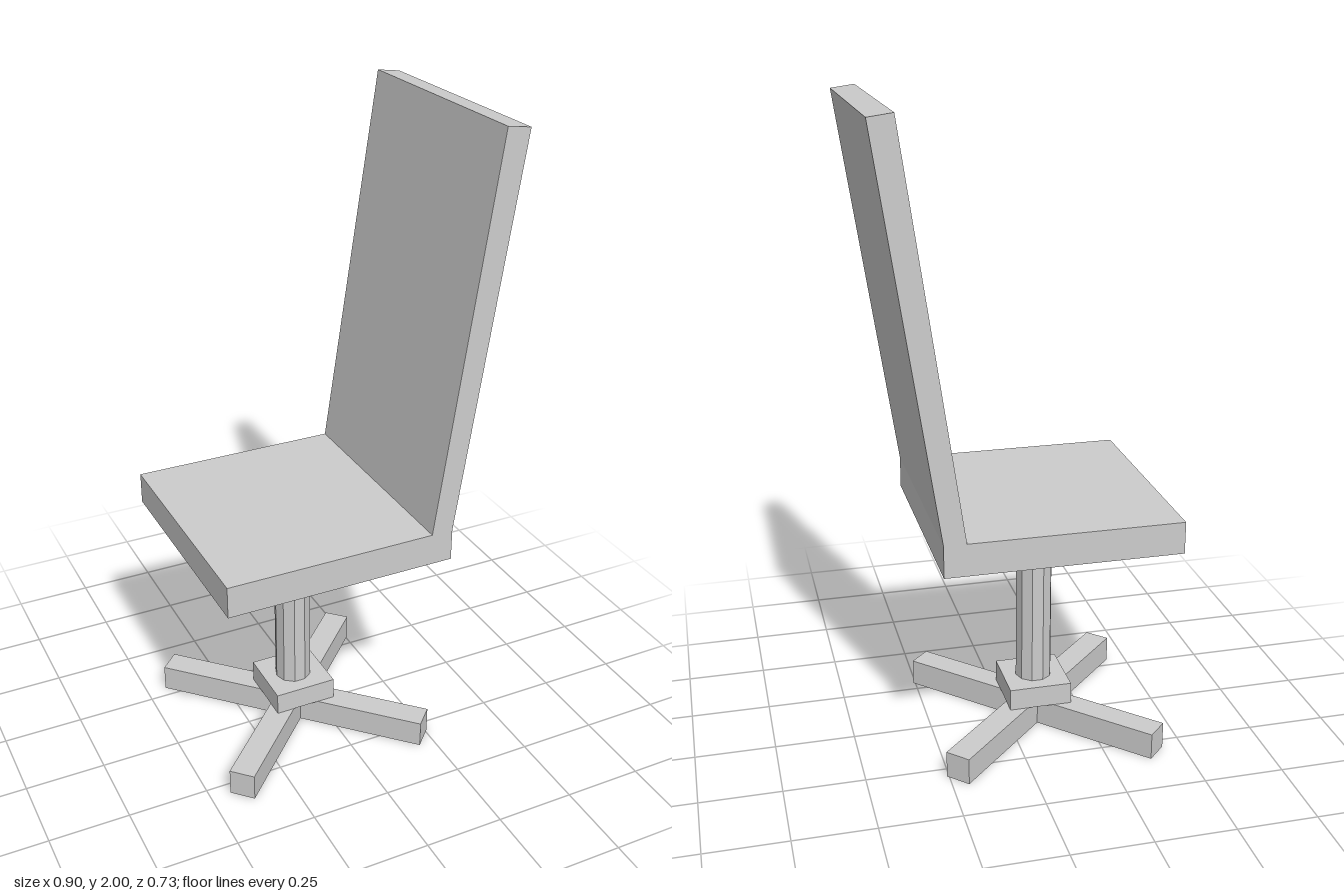
import * as THREE from 'three';

const AXIS_X = -0.09; // the pedestal stands under the middle of the seat
const DEPTH = 0.727;

export function createModel() {
  const group = new THREE.Group();
  const material = new THREE.MeshStandardMaterial({ color: 0xcccccc, flatShading: true });

  const add = (name, geometry, x, y, z = 0) => {
    const mesh = new THREE.Mesh(geometry, material);
    mesh.name = name;
    mesh.position.set(x, y, z);
    group.add(mesh);
    return mesh;
  };

  // Side profile extruded across the width of the chair
  const slab = (name, points) => {
    const shape = new THREE.Shape(points.map(([x, y]) => new THREE.Vector2(x, y)));
    const geometry = new THREE.ExtrudeGeometry(shape, { depth: DEPTH, bevelEnabled: false });
    return add(name, geometry, 0, 0, -DEPTH / 2);
  };

  // Seat and reclined backrest share one L-shaped profile
  slab('seatAndBackrest', [
    [-0.453, 0.7], [0.27, 0.7], [0.27, 0.8], [0.45, 1.99],
    [0.377, 2], [0.202, 0.8], [-0.453, 0.8],
  ]);

  // Square plates at both ends of the column
  add('upperPlate', new THREE.BoxGeometry(0.2, 0.05, 0.2), AXIS_X, 0.675);
  add('lowerPlate', new THREE.BoxGeometry(0.2, 0.07, 0.2), AXIS_X, 0.12);

  // Ten-sided column
  const column = add('column', new THREE.CylinderGeometry(0.058, 0.058, 0.5, 10), AXIS_X, 0.4);
  column.rotation.y = Math.PI / 2;

  // Two crossed bars form the foot
  for (const side of [-1, 1]) {
    const bar = add('footBar', new THREE.BoxGeometry(0.9, 0.085, 0.081), AXIS_X, 0.0425);
    bar.rotation.y = side * Math.PI / 4;
  }

  return group;
}
